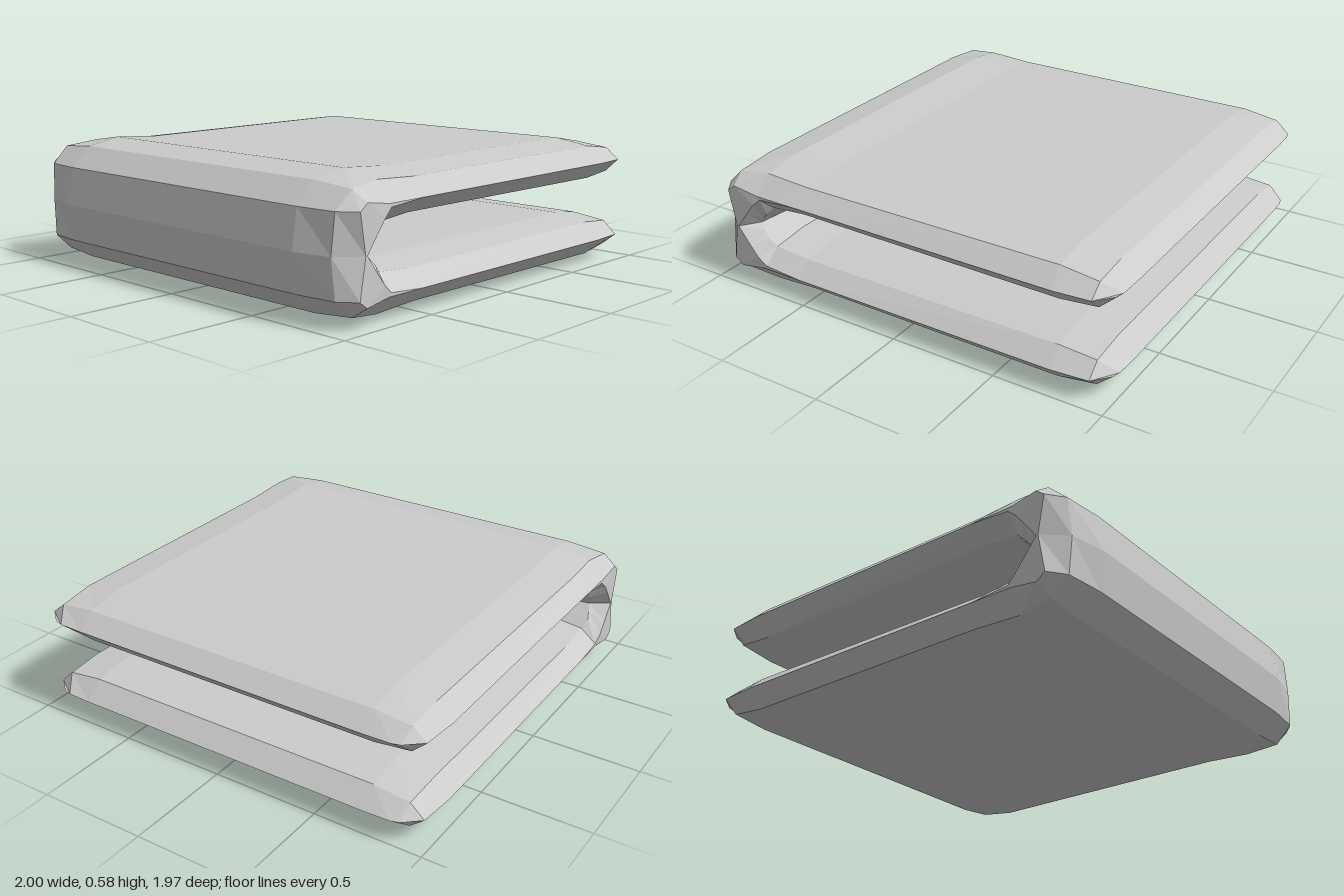
import * as THREE from 'three';

const MID_Y = 0.29; // height of the fold's plane of symmetry

// Cross-sections of the lower layer, from the open tip to the fold.
// outer / rimOuter / rimInner / inner are [x, y]; zRim and zEdge are half widths.
const lower = [
  { outer: [1, 0.11], rimOuter: [0.985, 0.11], rimInner: [0.985, 0.11], inner: [1, 0.11], zRim: 0.89, zEdge: 0.85 },
  { outer: [0.92, 0.04], rimOuter: [0.92, 0.11], rimInner: [0.92, 0.11], inner: [0.92, 0.19], zRim: 0.965, zEdge: 0.9 },
  { outer: [0.75, 0.01], rimOuter: [0.75, 0.11], rimInner: [0.75, 0.11], inner: [0.75, 0.21], zRim: 0.98, zEdge: 0.905 },
  { outer: [-0.5, 0.015], rimOuter: [-0.53, 0.11], rimInner: [-0.53, 0.11], inner: [-0.54, 0.2], zRim: 0.98, zEdge: 0.905 },
  { outer: [-0.72, 0.0], rimOuter: [-0.73, 0.11], rimInner: [-0.72, 0.125], inner: [-0.71, 0.215], zRim: 0.98, zEdge: 0.905 },
  { outer: [-0.88, 0.03], rimOuter: [-0.86, 0.09], rimInner: [-0.76, 0.16], inner: [-0.74, 0.25], zRim: 0.985, zEdge: 0.92 },
  { outer: [-0.975, 0.12], rimOuter: [-0.9, 0.12], rimInner: [-0.8, 0.21], inner: [-0.765, 0.275], zRim: 0.985, zEdge: 0.91 },
  { outer: [-1, 0.29], rimOuter: [-0.87, 0.29], rimInner: [-0.86, 0.29], inner: [-0.78, 0.29], zRim: 0.985, zEdge: 0.9 },
];

// Mirror a cross-section up into the top layer
function flip(s) {
  const up = ([x, y]) => [x, 2 * MID_Y - y];
  return { ...s, outer: up(s.outer), rimOuter: up(s.rimOuter), rimInner: up(s.rimInner), inner: up(s.inner) };
}

// Closed ring round the cloth: bevelled rim at each side, flat faces between
function ring(s) {
  const mix = (a, b) => [a[0] + (b[0] - a[0]) * 0.25, a[1] + (b[1] - a[1]) * 0.25];
  const zFlat = 0.73;
  const half = [
    [s.inner, zFlat],
    [mix(s.inner, s.rimInner), s.zEdge],
    [s.rimInner, s.zRim],
    [s.rimOuter, s.zRim],
    [mix(s.outer, s.rimOuter), s.zEdge],
    [s.outer, zFlat],
  ];
  const point = ([p, z], side) => new THREE.Vector3(p[0], p[1], z * side);
  return [...half.map(h => point(h, 1)), ...half.slice().reverse().map(h => point(h, -1))];
}

// Skin neighbouring rings, leaving out triangles with no area
function loft(rings) {
  const positions = [];
  const addTriangle = (a, b, c) => {
    const area = b.clone().sub(a).cross(c.clone().sub(a)).length();
    if (area > 1e-7) for (const v of [a, b, c]) positions.push(v.x, v.y, v.z);
  };
  for (let i = 0; i < rings.length - 1; i++) {
    const n = rings[i].length;
    for (let j = 0; j < n; j++) {
      const k = (j + 1) % n;
      const a = rings[i][j], b = rings[i][k], c = rings[i + 1][k], d = rings[i + 1][j];
      addTriangle(a, b, c);
      addTriangle(a, c, d);
    }
  }
  const geometry = new THREE.BufferGeometry();
  geometry.setAttribute('position', new THREE.Float32BufferAttribute(positions, 3));
  geometry.computeVertexNormals();
  return geometry;
}

export function createModel() {
  const group = new THREE.Group();
  group.name = 'foldedTowel';

  // Lower layer, round the fold, and back along the upper layer
  const stations = [...lower, ...lower.slice(0, -1).reverse().map(flip)];
  const material = new THREE.MeshStandardMaterial({ color: 0xcccccc, flatShading: true, side: THREE.DoubleSide });
  const cloth = new THREE.Mesh(loft(stations.map(ring)), material);
  cloth.name = 'foldedCloth';
  group.add(cloth);

  return group;
}
